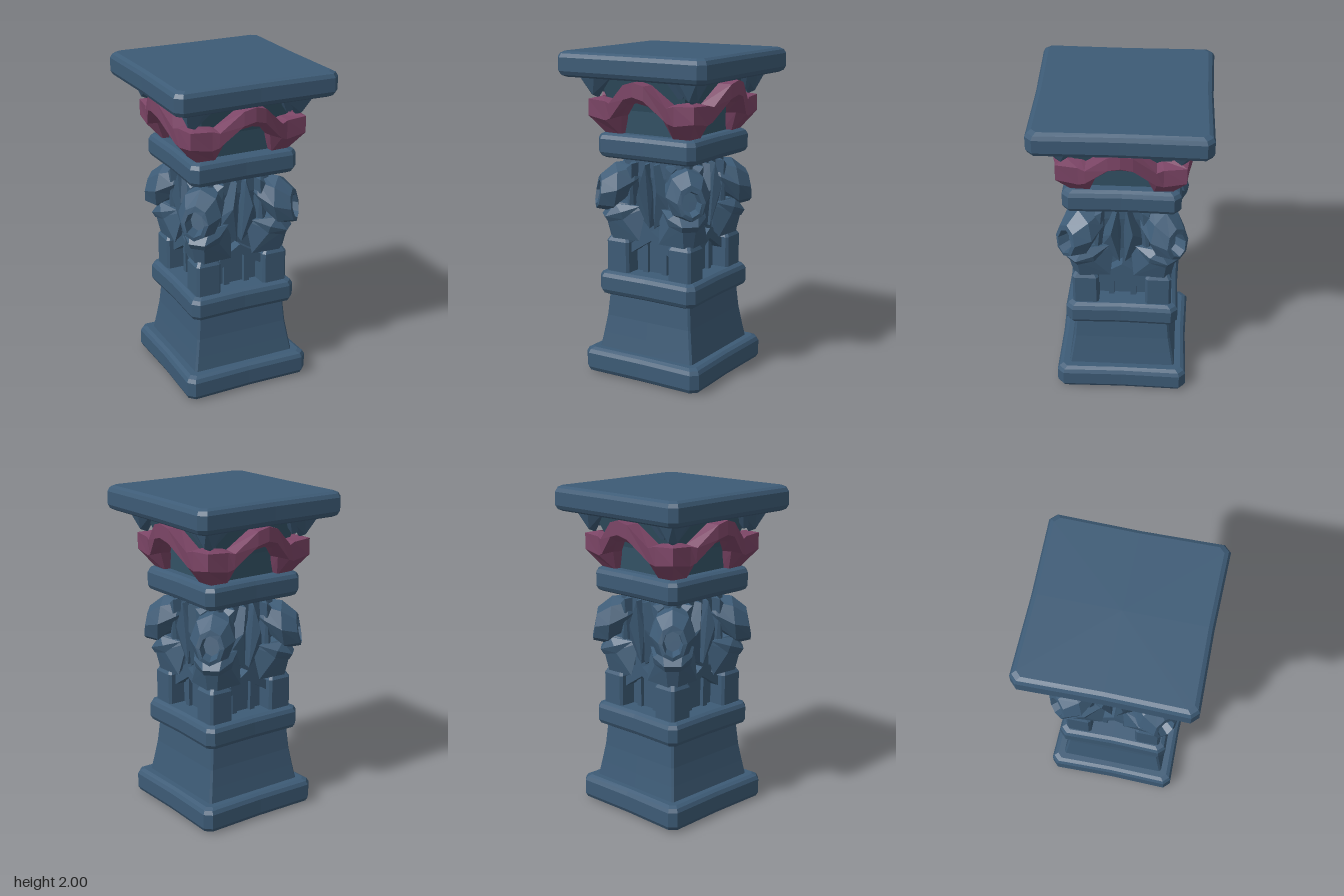
import * as THREE from 'three';
import { ConvexGeometry } from 'three/addons/geometries/ConvexGeometry.js';

const stone = new THREE.MeshStandardMaterial({ color: 0x3d5b76 });
stone.name = 'blueStone';
const recess = new THREE.MeshStandardMaterial({ color: 0x36566a });
recess.name = 'recessStone';
const plum = new THREE.MeshStandardMaterial({ color: 0x7c4566 });
plum.name = 'plumCloth';

function add(parent, name, geometry, material = stone) {
  const mesh = new THREE.Mesh(geometry, material);
  mesh.name = name;
  parent.add(mesh);
  return mesh;
}

// Faceted skin through a series of closed rings, optionally capped
function loft(rings, capped = true) {
  const pos = [];
  const n = rings[0].length;
  const tri = (...pts) => pts.forEach((p) => pos.push(...p));
  const centre = (ring) => [0, 1, 2].map((k) => ring.reduce((s, p) => s + p[k], 0) / n);
  const first = rings[0], last = rings[rings.length - 1];
  for (let j = 0; j < n; j++) {
    const k = (j + 1) % n;
    for (let i = 0; i < rings.length - 1; i++) {
      const a = rings[i], b = rings[i + 1];
      tri(a[j], a[k], b[k]);
      tri(a[j], b[k], b[j]);
    }
    if (capped) {
      tri(centre(first), first[k], first[j]);
      tri(centre(last), last[j], last[k]);
    }
  }
  const g = new THREE.BufferGeometry();
  g.setAttribute('position', new THREE.Float32BufferAttribute(pos, 3));
  g.computeVertexNormals();
  return g;
}

// Square ring with cut corners and slightly hollow sides
function squareRing(y, h, cut, hollow = 0) {
  const ring = [];
  for (let i = 0; i < 4; i++) {
    const a = (i * Math.PI) / 2, c = Math.cos(a), s = Math.sin(a);
    for (const [x, z] of [[h, h - cut], [h - hollow, 0], [h, cut - h]]) {
      ring.push([x * c + z * s, y, -x * s + z * c]);
    }
  }
  return ring;
}

// Worn slab with bevelled edges
function slab(y0, y1, h) {
  const b = 0.035;
  return loft([
    squareRing(y0, h - b, 0.03, 0.006),
    squareRing(y0 + 0.012, h - 0.012, 0.035, 0.008),
    squareRing(y0 + b, h, 0.04, 0.008),
    squareRing(y1 - b, h, 0.04, 0.008),
    squareRing(y1 - 0.012, h - 0.012, 0.035, 0.008),
    squareRing(y1, h - b, 0.03, 0.006),
  ]);
}

const hull = (pts) => new ConvexGeometry(pts.map((p) => new THREE.Vector3(...p)));
const mirrorX = (pts) => pts.map(([x, y, z]) => [-x, y, z]);

// Cloth band: one side, from corner to corner, swept through five-point sections
function bandGeometry() {
  // innerTop, outerTop, outerMiddle, lowerOuter, lowerInner
  const half = [
    [[0, 1.84, 0.36], [0, 1.84, 0.45], [0, 1.755, 0.45], [0, 1.715, 0.40], [0, 1.72, 0.33]],
    [[0.07, 1.82, 0.35], [0.07, 1.82, 0.44], [0.07, 1.735, 0.44], [0.07, 1.70, 0.39], [0.07, 1.70, 0.32]],
    [[0.20, 1.71, 0.31], [0.20, 1.70, 0.40], [0.20, 1.61, 0.39], [0.145, 1.625, 0.35], [0.145, 1.62, 0.28]],
    [[0.23, 1.72, 0.30], [0.24, 1.71, 0.385], [0.24, 1.595, 0.38], [0.185, 1.50, 0.295], [0.18, 1.50, 0.23]],
    [[0.31, 1.73, 0.31], [0.37, 1.715, 0.37], [0.37, 1.615, 0.37], [0.29, 1.50, 0.29], [0.22, 1.50, 0.22]],
  ];
  return loft([...half.slice(1).reverse().map(mirrorX), ...half], false);
}

// Hood with a hollow face opening, pointing along +z
function hoodGeometry() {
  const sections = [
    [0.18, 1.26, 0.05, 0.06], [0.27, 1.225, 0.115, 0.11], [0.38, 1.175, 0.135, 0.15],
    [0.47, 1.15, 0.085, 0.105], [0.475, 1.145, 0.06, 0.075], [0.40, 1.145, 0.05, 0.06],
  ];
  return loft(sections.map(([z, cy, rx, ry]) => Array.from({ length: 8 }, (_, i) => {
    const a = (i * Math.PI) / 4;
    return [Math.cos(a) * rx, cy + Math.sin(a) * ry, z - Math.sin(a) * 0.015];
  })));
}

function chevronGeometry() {
  const s = new THREE.Shape();
  [[-0.15, 0.77], [0, 0.865], [0.15, 0.77], [0.15, 0.83], [0, 0.925], [-0.15, 0.83]]
    .forEach(([x, y], i) => (i ? s.lineTo(x, y) : s.moveTo(x, y)));
  return new THREE.ExtrudeGeometry(s, { depth: 0.07, bevelEnabled: false });
}

export function createModel() {
  const column = new THREE.Group();
  column.name = 'column';

  // Slabs, plinth and inner cores
  add(column, 'baseSlab', slab(0, 0.16, 0.41));
  add(column, 'plinth', loft([
    squareRing(0.15, 0.337, 0.012), squareRing(0.25, 0.32, 0.012),
    squareRing(0.36, 0.303, 0.012), squareRing(0.51, 0.29, 0.012),
  ]));
  add(column, 'middleSlab', slab(0.5, 0.65, 0.345));
  add(column, 'shaftCore', loft([
    squareRing(0.64, 0.195, 0.03), squareRing(1.0, 0.195, 0.03),
    squareRing(1.25, 0.235, 0.035), squareRing(1.37, 0.235, 0.035),
  ]));
  add(column, 'neckSlab', slab(1.36, 1.51, 0.345));
  add(column, 'capitalCore', loft([
    squareRing(1.5, 0.26, 0.03), squareRing(1.65, 0.28, 0.03), squareRing(1.86, 0.36, 0.05),
  ]), recess);
  add(column, 'topSlab', slab(1.85, 2, 0.512));

  // Shared pieces of each side and corner
  const band = bandGeometry();
  const hood = hoodGeometry();
  const chevron = chevronGeometry();
  const post = loft([
    [0.64, 0.08], [0.84, 0.08], [0.875, 0.06],
  ].map(([y, h]) => squareRing(y, h, 0.015)));
  const leafPoints = [
    [0.015, 1.34, 0.21], [0.06, 1.34, 0.21], [0.03, 1.33, 0.275], [0.15, 1.08, 0.2],
    [0.13, 1.03, 0.23], [0.065, 1.18, 0.30], [0.015, 0.94, 0.25], [0.02, 0.95, 0.18], [0.008, 1.15, 0.23],
  ];
  const foldPoints = [
    [0.09, 1.34, 0.2], [0.17, 1.34, 0.2], [0.12, 1.33, 0.285], [0.16, 1.3, 0.28],
    [0.21, 1.0, 0.2], [0.16, 0.9, 0.27], [0.12, 0.9, 0.2], [0.125, 1.05, 0.255],
  ];
  const pillarPoints = [0.05, 0.085].flatMap((x) => [0.64, 0.86].flatMap((y) => [[x, y, 0.15], [x, y, 0.22]]));
  const sidePieces = [['leaf', leafPoints], ['robeFold', foldPoints], ['archRib', pillarPoints]]
    .flatMap(([name, p]) => [[name + 'Left', hull(p)], [name + 'Right', hull(mirrorX(p))]]);

  // Robe and collar, pointing along +z
  const robe = hull([-1, 1].flatMap((s) => [
    [s * 0.03, 0.86, 0.39], [s * 0.15, 0.86, 0.25], [s * 0.13, 1.06, 0.2],
    [s * 0.10, 1.0, 0.35], [s * 0.04, 0.99, 0.42], [s * 0.06, 1.09, 0.36],
  ]));
  const collar = hull([-1, 1].flatMap((s) => [
    [s * 0.115, 1.035, 0.355], [s * 0.13, 1.07, 0.24], [s * 0.05, 1.0, 0.44],
    [s * 0.045, 0.965, 0.42], [s * 0.11, 0.99, 0.34], [s * 0.06, 1.08, 0.38],
  ]));
  const tooth = hull([
    [-0.09, 1.86, 0.50], [0.09, 1.86, 0.50], [-0.13, 1.86, 0.40], [0.13, 1.86, 0.40],
    [-0.025, 1.74, 0.50], [0.025, 1.74, 0.50], [0, 1.72, 0.46], [0, 1.86, 0.58],
  ]);
  const sideTooth = hull([
    [0.19, 1.86, 0.40], [0.33, 1.86, 0.40], [0.19, 1.86, 0.30], [0.33, 1.86, 0.30],
    [0.25, 1.75, 0.35], [0.28, 1.75, 0.35], [0.265, 1.75, 0.32],
  ]);

  for (let i = 0; i < 4; i++) {
    const side = new THREE.Group();
    side.name = 'side' + (i + 1);
    side.rotation.y = (i * Math.PI) / 2;
    column.add(side);

    add(side, 'clothBand', band, plum);
    add(side, 'gable', chevron).position.z = 0.19;
    sidePieces.forEach(([name, g]) => add(side, name, g));
    add(side, 'cornerPost', post).position.set(0.222, 0, 0.222);
    add(side, 'bracketRight', sideTooth);
    add(side, 'bracketLeft', sideTooth).rotation.y = -Math.PI / 2;

    // Hooded figure on the corner
    const figure = new THREE.Group();
    figure.name = 'hoodedFigure';
    figure.rotation.y = Math.PI / 4;
    side.add(figure);
    add(figure, 'hood', hood);
    add(figure, 'collar', collar);
    add(figure, 'robe', robe);
    add(figure, 'cornerBracket', tooth);
  }
  return column;
}
